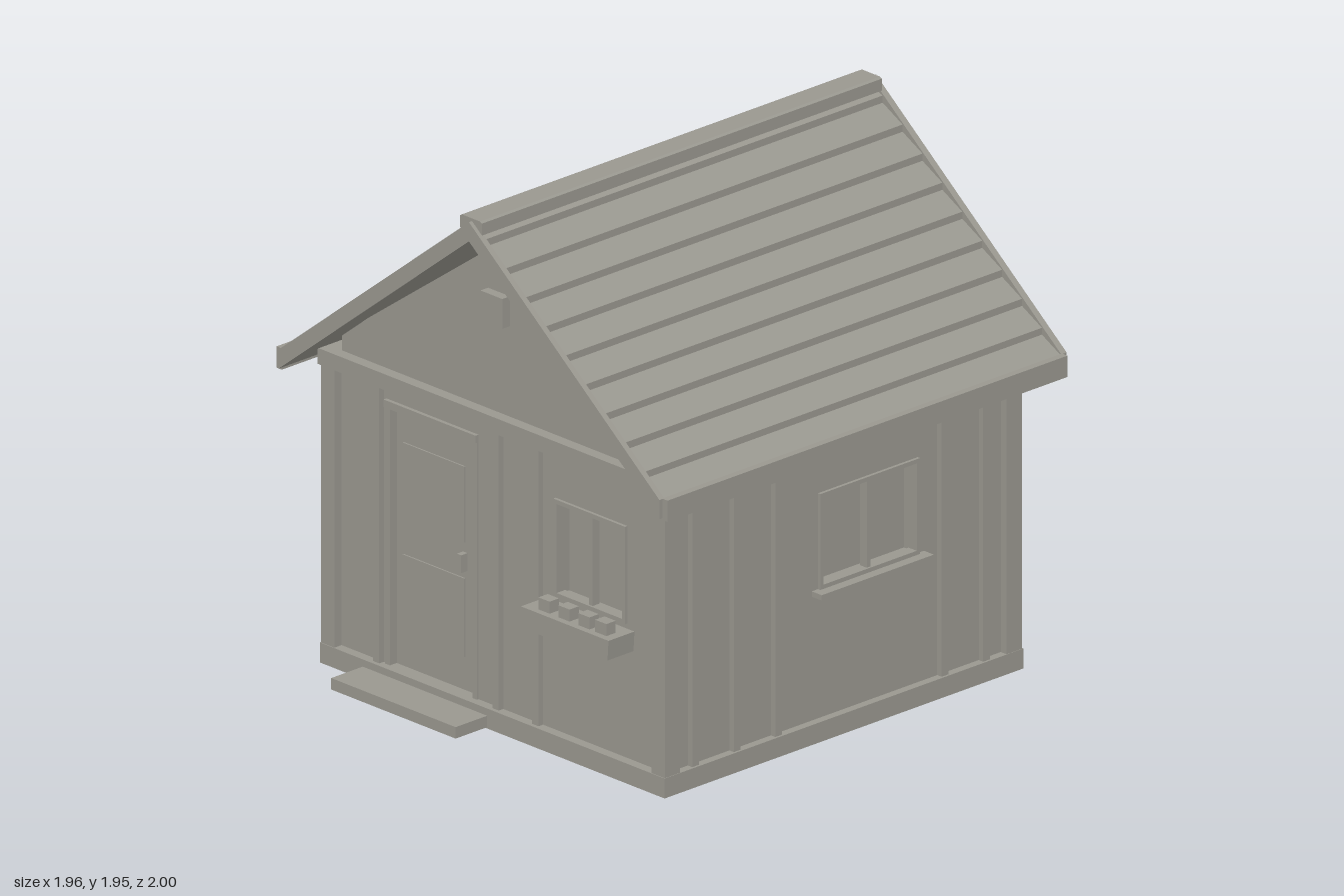
import * as THREE from 'three';

export function createModel() {
  const root = new THREE.Group();
  root.name = 'shed';
  const grey = new THREE.MeshStandardMaterial({ color: 0x99978f });
  grey.name = 'stone grey';

  const add = (name, geo, parent = root) => {
    const m = new THREE.Mesh(geo, grey);
    m.name = name;
    parent.add(m);
    return m;
  };
  // Box given by its extents
  const box = (name, x0, x1, y0, y1, z0, z1, parent = root) =>
    add(name, new THREE.BoxGeometry(x1 - x0, y1 - y0, z1 - z0), parent)
      .position.set((x0 + x1) / 2, (y0 + y1) / 2, (z0 + z1) / 2);
  // Prism from an x-y outline, between two depths, with optional rectangular holes
  const prism = (pts, z0, z1, ...holes) => {
    const s = new THREE.Shape(pts.map(p => new THREE.Vector2(...p)));
    for (const [a, b, c, d] of holes)
      s.holes.push(new THREE.Path([[a, c], [a, d], [b, d], [b, c]].map(p => new THREE.Vector2(...p))));
    return new THREE.ExtrudeGeometry(s, { depth: z1 - z0, bevelEnabled: false }).translate(0, 0, z0);
  };
  const rect = (a, b, c, d) => [[a, c], [b, c], [b, d], [a, d]];

  // Body: solid core, front and window-side claddings with openings
  box('body', -0.835, 0.765, 0.01, 1.18, -0.845, 0.745);
  add('frontWall', prism(rect(-0.835, 0.835, 0.01, 1.18), 0.745, 0.81,
    [0.28, 0.64, 0.58, 0.945], [-0.57, -0.108, 0.075, 1.068]));
  const sideWall = add('sideWall', prism(rect(-0.745, 0.845, 0.01, 1.18), 0, 0.07, [-0.08, 0.4, 0.56, 0.92]));
  sideWall.rotation.y = Math.PI / 2; // local x runs towards the back
  sideWall.position.x = 0.765;

  // Base trim and top band, the band standing further out on the gable ends
  for (const [name, y0, y1, front, back] of [['baseTrim', 0, 0.075, 0.848, -0.88], ['topBand', 1.125, 1.185, 0.86, -0.892]]) {
    box(name, -0.866, 0.866, y0, y1, 0.79, front);
    box(name, -0.866, 0.866, y0, y1, back, -0.82);
    for (const x of [-0.84, 0.84]) box(name, x - 0.026, x + 0.026, y0, y1, back, front);
  }

  // Corner boards
  for (const x of [-0.83, 0.83]) for (const z of [-0.837, 0.808])
    box('cornerBoard', x - 0.034, x + 0.034, 0.075, 1.125, z - 0.037, z + 0.037);

  // Vertical battens on all walls
  for (const x of [-0.6, 0, 0.2])
    box('frontBatten', x - 0.016, x + 0.016, 0.075, 1.125, 0.8, 0.832);
  for (let i = -3; i <= 3; i++) {
    const x = 0.065 + i * 0.235;
    box('backBatten', x - 0.016, x + 0.016, 0.075, 1.125, -0.867, -0.84);
  }
  for (let i = 0; i < 8; i++) {
    const z = 0.69 - i * 0.2;
    box('leftBatten', -0.857, -0.83, 0.075, 1.125, z - 0.016, z + 0.016);
    if (i < 3 || i > 5) box('rightBatten', 0.83, 0.857, 0.075, 1.125, z - 0.016, z + 0.016);
  }

  // Window: frame and central bar, built facing +z about the opening centre
  const makeWindow = (name, w, h) => {
    const g = new THREE.Group();
    g.name = name;
    add('windowFrame', prism(rect(-w, w, -h, h), -0.03, 0.012, [-w + 0.016, w - 0.016, -h + 0.016, h - 0.016]), g);
    box('windowBar', -0.009, 0.009, -h, h, -0.03, 0.004, g);
    root.add(g);
    return g;
  };
  makeWindow('frontWindow', 0.18, 0.183).position.set(0.46, 0.763, 0.81);
  const side = makeWindow('sideWindow', 0.24, 0.18);
  side.position.set(0.835, 0.74, -0.16);
  side.rotation.y = Math.PI / 2;
  box('sideSill', 0.83, 0.885, 0.54, 0.56, -0.43, 0.11);

  // Flower box with blocky plants
  add('flowerBox', prism([[0.245, 0.48], [0.67, 0.485], [0.675, 0.56], [0.235, 0.56]], 0.805, 0.935));
  for (const x of [0.325, 0.425, 0.525, 0.61])
    box('plant', x - 0.028, x + 0.028, 0.555, 0.605, 0.865, 0.91);

  // Recessed door, frame, raised panels and handle
  box('door', -0.55, -0.125, 0.075, 1.04, 0.74, 0.785);
  box('doorPost', -0.57, -0.545, 0.075, 1.045, 0.74, 0.818);
  box('doorPost', -0.13, -0.108, 0.075, 1.045, 0.74, 0.818);
  box('doorHeader', -0.57, -0.108, 1.04, 1.068, 0.74, 0.825);
  box('doorPanel', -0.51, -0.2, 0.63, 0.915, 0.78, 0.791);
  box('doorPanel', -0.51, -0.2, 0.2, 0.495, 0.78, 0.791);
  box('doorHandle', -0.212, -0.19, 0.525, 0.592, 0.78, 0.815);
  box('doorStep', -0.65, -0.025, 0.005, 0.048, 0.84, 1.0);

  // Gable walls and vent
  const gable = [[-0.79, 1.18], [0.79, 1.18], [0.79, 1.25], [0, 1.82], [-0.79, 1.25]];
  add('frontGable', prism(gable, 0.77, 0.815));
  add('backGable', prism(gable, -0.85, -0.805));
  box('gableVent', -0.055, 0.055, 1.525, 1.637, 0.81, 0.852);

  // Roof: slab, stepped courses, barge boards and fascia on each slope
  const line = (y, x) => y - 0.795 * x;
  const band = (s, y0, y1) => [[0, y0], [0.957, line(y0, 0.957)], [0.957, line(y1, 0.957)], [0, y1]]
    .map(([x, y]) => [s * x, y]);
  for (const s of [-1, 1]) {
    add('roofSlab', prism(band(s, 1.868, 1.907), -0.98, 0.94));
    for (let i = 0; i < 10; i++) {
      const b = Math.min(0.06 + i * 0.1, 0.955), a = Math.max(0, b - 0.1), y = line(1.907, b);
      add('roofCourse', prism([[s * a, line(1.907, a)], [s * b, y], [s * b, y + 0.027]], -0.975, 0.938));
    }
    add('bargeBoard', prism(band(s, 1.868, 1.94), 0.937, 0.96));
    add('bargeBoard', prism(band(s, 1.868, 1.94), -1, -0.974));
    box('fascia', s > 0 ? 0.955 : -0.982, s > 0 ? 0.982 : -0.955, 1.1, 1.18, -0.98, 0.945);
  }
  add('ridgeCap', prism([[-0.06, 1.9], [0.05, 1.9], [0.05, 1.945], [0.04, 1.95], [-0.05, 1.95], [-0.06, 1.945]], -0.98, 0.945));

  return root;
}
